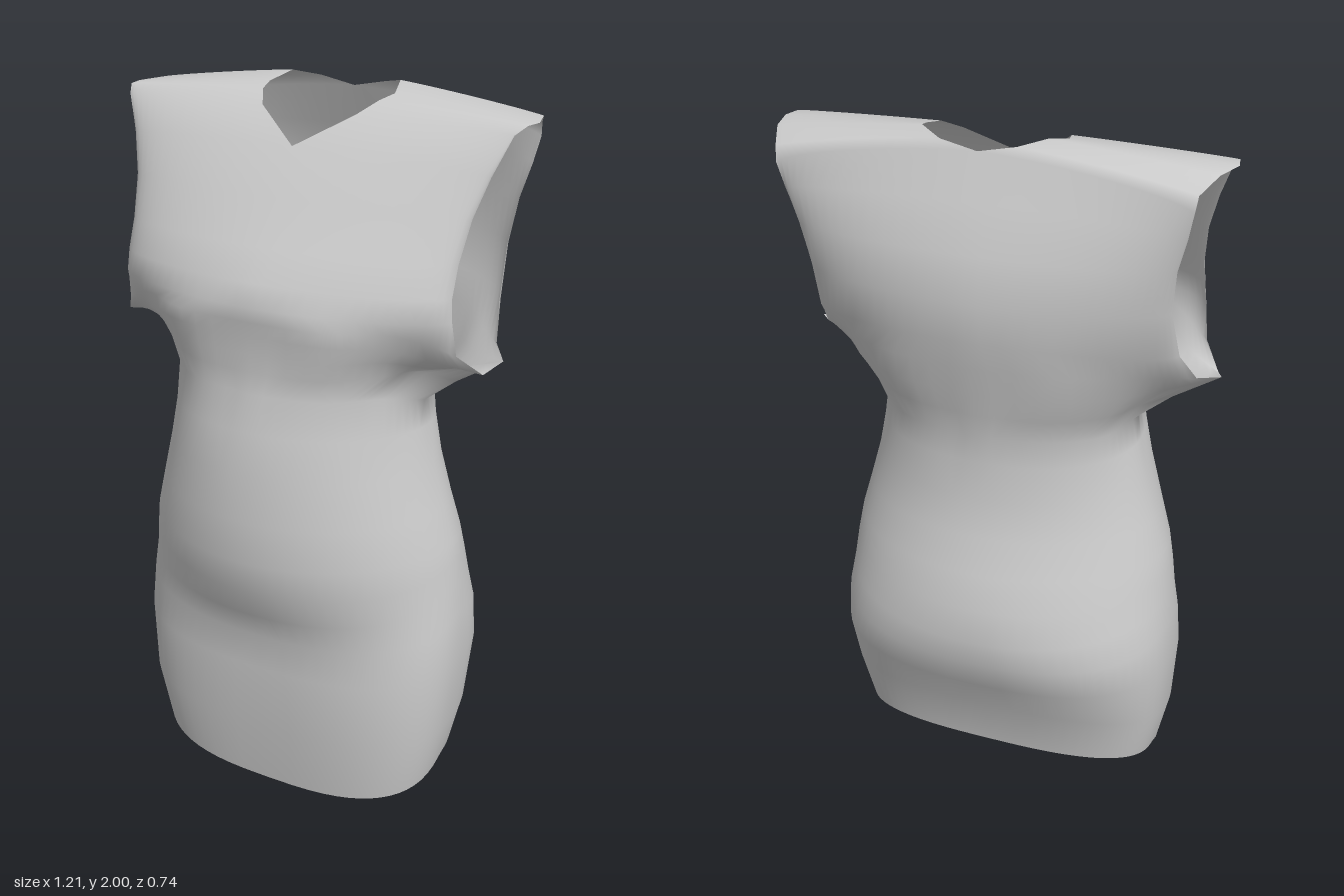
import * as THREE from 'three';
import { mergeVertices } from 'three/addons/utils/BufferGeometryUtils.js';

// A row is a function giving points from the centre line (t = 0) to the side edge (t = 1).
// arc: rounded row; k below 1 is boxy, 1 elliptical, 2 straight
const arc = (inner, edge, k) => (t) => {
  const s = Math.sin(t * Math.PI / 2) ** k;
  const c = Math.max(0, Math.cos(t * Math.PI / 2)) ** k;
  return [
    inner[0] + (edge[0] - inner[0]) * s,
    edge[1] + (inner[1] - edge[1]) * c,
    edge[2] + (inner[2] - edge[2]) * c,
  ];
};

// via: row through given points, for the fold where the sleeve leaves the body
const via = (...points) => {
  const curve = new THREE.CatmullRomCurve3(points.map((p) => new THREE.Vector3(...p)));
  return (t) => curve.getPoint(t).toArray();
};

// Skirt and waist: front and back share the side seam.
// [seam x, seam y, front y, front z, back y, back z, roundness]
const lower = [
  [0.45, 0.10, 0.00, 0.24, 0.14, -0.21, 0.72],
  [0.485, 0.25, 0.20, 0.27, 0.30, -0.25, 0.72],
  [0.50, 0.46, 0.40, 0.28, 0.43, -0.33, 0.78],
  [0.492, 0.59, 0.505, 0.278, 0.52, -0.355, 0.82],
  [0.48, 0.67, 0.59, 0.315, 0.60, -0.368, 0.93],
  [0.472, 0.74, 0.68, 0.35, 0.70, -0.355, 1.0],
  [0.46, 0.80, 0.78, 0.37, 0.80, -0.33, 1.02],
  [0.43, 0.90, 0.90, 0.365, 0.90, -0.295, 1.0],
  [0.395, 1.02, 1.03, 0.355, 1.01, -0.275, 0.97],
  [0.37, 1.13, 1.15, 0.335, 1.12, -0.27, 0.93],
];

// Underarm seam from the waist out to the sleeve opening
const underarm = [[0.36, 1.20, 0], [0.45, 1.27, 0], [0.58, 1.35, 0]];

// The shoulder seam closes both panels
const shoulder = arc([0.19, 1.98, -0.12], [0.605, 1.95, -0.09], 1.7);

const front = [
  ...lower.map(([x, y, fy, fz, , , k]) => arc([0, fy, fz], [x, y, 0], k)),
  // Sleeve underside
  via([0, 1.25, 0.312], [0.2, 1.25, 0.27], [0.315, 1.25, 0.17], underarm[0]),
  via([0, 1.31, 0.308], [0.2, 1.31, 0.28], [0.33, 1.32, 0.185], [0.375, 1.31, 0.08], underarm[1]),
  via([0, 1.36, 0.308], [0.21, 1.36, 0.287], [0.345, 1.365, 0.2], [0.44, 1.33, 0.085], underarm[2]),
  via([0, 1.41, 0.31], [0.215, 1.41, 0.295], [0.36, 1.405, 0.22], [0.455, 1.36, 0.125], [0.555, 1.33, 0.07]),
  via([0, 1.45, 0.316], [0.215, 1.45, 0.302], [0.36, 1.45, 0.232], [0.45, 1.42, 0.168], [0.505, 1.39, 0.13]),
  // Chest and front armhole edge
  arc([0, 1.49, 0.32], [0.495, 1.48, 0.14], 1.18),
  arc([0, 1.55, 0.30], [0.49, 1.54, 0.135], 1.15),
  arc([0, 1.63, 0.245], [0.49, 1.62, 0.105], 1.05),
  arc([0, 1.74, 0.165], [0.505, 1.73, 0.065], 1),
  // V neckline
  arc([0, 1.86, 0.085], [0.535, 1.83, 0.03], 1),
  arc([0.14, 1.94, 0.0], [0.575, 1.93, -0.005], 1.3),
  arc([0.175, 1.97, -0.06], [0.595, 1.95, -0.04], 1.6),
  shoulder,
];

const back = [
  ...lower.map(([x, y, , , by, bz, k]) => arc([0, by, bz], [x, y, 0], k)),
  // Sleeve underside
  via([0, 1.20, -0.277], [0.2, 1.20, -0.235], [0.315, 1.20, -0.15], underarm[0]),
  via([0, 1.27, -0.292], [0.2, 1.27, -0.26], [0.33, 1.27, -0.175], [0.385, 1.27, -0.08], underarm[1]),
  via([0, 1.34, -0.308], [0.22, 1.34, -0.28], [0.36, 1.34, -0.2], [0.45, 1.33, -0.09], underarm[2]),
  via([0, 1.42, -0.328], [0.22, 1.42, -0.3], [0.37, 1.41, -0.225], [0.46, 1.385, -0.135], [0.53, 1.37, -0.07]),
  // Upper back and rear armhole edge
  arc([0, 1.50, -0.343], [0.50, 1.46, -0.145], 1.1),
  arc([0, 1.61, -0.358], [0.49, 1.60, -0.205], 1.1),
  arc([0, 1.73, -0.338], [0.505, 1.72, -0.235], 1.1),
  arc([0, 1.85, -0.295], [0.53, 1.81, -0.25], 1.1),
  // Back neckline
  arc([0, 1.965, -0.25], [0.545, 1.88, -0.262], 1.4),
  arc([0.10, 1.985, -0.245], [0.55, 1.92, -0.25], 1.7),
  arc([0.165, 2.0, -0.20], [0.58, 1.95, -0.18], 1.8),
  shoulder,
];

const COLS = 16;

// Adds one quarter of the garment; side is +1 for left, -1 for right
function addQuarter(out, rows, side, flip) {
  const put = (i, j) => {
    const [x, y, z] = rows[i](j / COLS);
    out.push(x * side, y, z);
  };
  for (let i = 0; i < rows.length - 1; i++) {
    for (let j = 0; j < COLS; j++) {
      const q = [[i, j], [i, j + 1], [i + 1, j + 1], [i + 1, j]];
      if (flip) q.reverse();
      for (const n of [0, 1, 2, 0, 2, 3]) put(...q[n]);
    }
  }
}

export function createModel() {
  const group = new THREE.Group();
  group.name = 'dress';

  const points = [];
  for (const side of [1, -1]) {
    addQuarter(points, front, side, side < 0);
    addQuarter(points, back, side, side > 0);
  }

  // Weld the panels so shading is smooth across the seams
  let geometry = new THREE.BufferGeometry();
  geometry.setAttribute('position', new THREE.Float32BufferAttribute(points, 3));
  geometry = mergeVertices(geometry, 1e-4);
  geometry.computeVertexNormals();

  const cloth = new THREE.Mesh(
    geometry,
    new THREE.MeshStandardMaterial({ color: 0xcccccc, side: THREE.DoubleSide })
  );
  cloth.name = 'dressCloth';
  group.add(cloth);
  return group;
}
